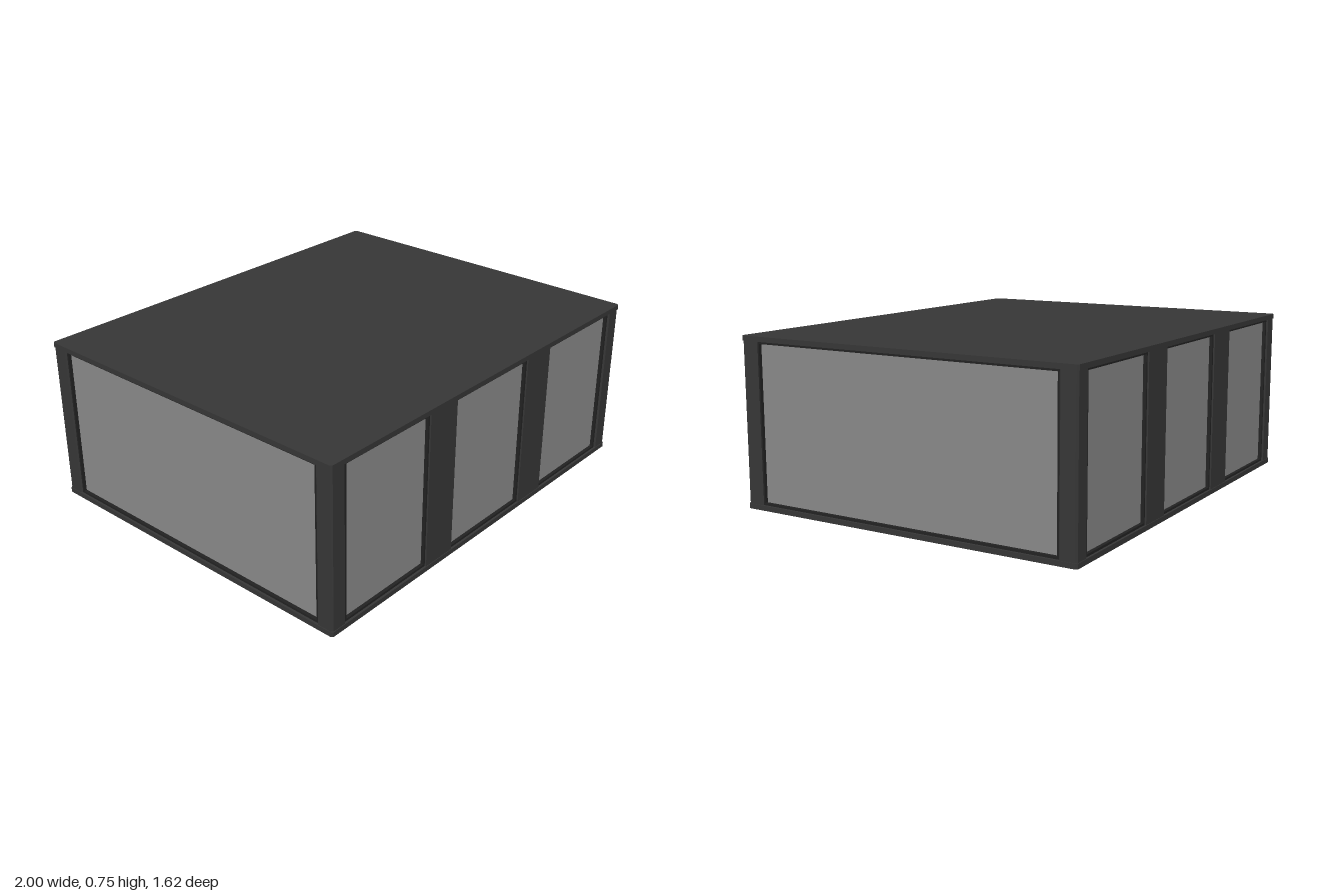
import * as THREE from 'three';

const W = 2, H = 0.75, D = 1.62;        // overall size
const SLAB = 0.022, POST = 0.08;        // slab thickness, corner post width
const RECESS = 0.025, TRIM = 0.01;      // pane setback, window trim width

const frameMat = new THREE.MeshStandardMaterial({ color: 0x363636 });
const trimMat = new THREE.MeshStandardMaterial({ color: 0x222222 });
const paneMat = new THREE.MeshStandardMaterial({ color: 0x888888 });

function add(parent, name, geometry, material, x, y, z) {
  const mesh = new THREE.Mesh(geometry, material);
  mesh.name = name;
  mesh.position.set(x, y, z);
  parent.add(mesh);
  return mesh;
}

// Upright block whose vertical edges are slightly chamfered
function chamferedBlock(w, h, d, c) {
  const x = w / 2, z = d / 2;
  const shape = new THREE.Shape([
    [-x + c, -z], [x - c, -z], [x, -z + c], [x, z - c],
    [x - c, z], [-x + c, z], [-x, z - c], [-x, -z + c],
  ].map(([a, b]) => new THREE.Vector2(a, b)));
  return new THREE.ExtrudeGeometry(shape, { depth: h, bevelEnabled: false })
    .rotateX(-Math.PI / 2).translate(0, -h / 2, 0);
}

// Pane with a thin surrounding trim, facing +z with its wall face at z = 0
function makeWindow(name, w, h) {
  const win = new THREE.Group();
  win.name = name;
  const rect = (Type, a, b) => new Type([
    new THREE.Vector2(-a, -b), new THREE.Vector2(a, -b),
    new THREE.Vector2(a, b), new THREE.Vector2(-a, b),
  ]);
  const outline = rect(THREE.Shape, w / 2, h / 2);
  outline.holes.push(rect(THREE.Path, w / 2 - TRIM, h / 2 - TRIM));
  const trim = new THREE.ExtrudeGeometry(outline, { depth: 0.025, bevelEnabled: false });
  add(win, 'windowTrim', trim, trimMat, 0, 0, -RECESS - 0.01);
  add(win, 'windowPane', new THREE.BoxGeometry(w, h, 0.012), paneMat, 0, 0, -RECESS - 0.006);
  return win;
}

export function createModel() {
  const model = new THREE.Group();
  model.name = 'pavilion';
  const wallH = H - 2 * SLAB;

  // Floor and roof slabs
  const slab = chamferedBlock(W, SLAB, D, 0.008);
  add(model, 'floor', slab, frameMat, 0, SLAB / 2, 0);
  add(model, 'roof', slab, frameMat, 0, H - SLAB / 2, 0);

  // Corner posts, and wide posts between the windows
  const cornerPost = chamferedBlock(POST, wallH, POST, 0.008);
  const middlePost = new THREE.BoxGeometry(0.17, wallH, POST);
  for (const sx of [-1, 1]) for (const sz of [-1, 1]) {
    const z = sz * (D / 2 - POST / 2 - 0.003);
    add(model, 'cornerPost', cornerPost, frameMat, sx * (W / 2 - POST / 2 - 0.003), H / 2, z);
    add(model, 'middlePost', middlePost, frameMat, sx * 0.335, H / 2, z);
  }

  // Three windows front and back, one wide window on each side
  for (const s of [-1, 1]) {
    const turn = s > 0 ? 0 : Math.PI;
    for (const x of [-0.668, 0, 0.668]) {
      const win = makeWindow(s > 0 ? 'frontWindow' : 'backWindow', 0.5, wallH);
      win.position.set(x, H / 2, s * D / 2);
      win.rotation.y = turn;
      model.add(win);
    }
    const side = makeWindow(s > 0 ? 'leftWindow' : 'rightWindow', D - 2 * POST, wallH);
    side.position.set(s * W / 2, H / 2, 0);
    side.rotation.y = s * Math.PI / 2;
    model.add(side);
  }
  return model;
}
